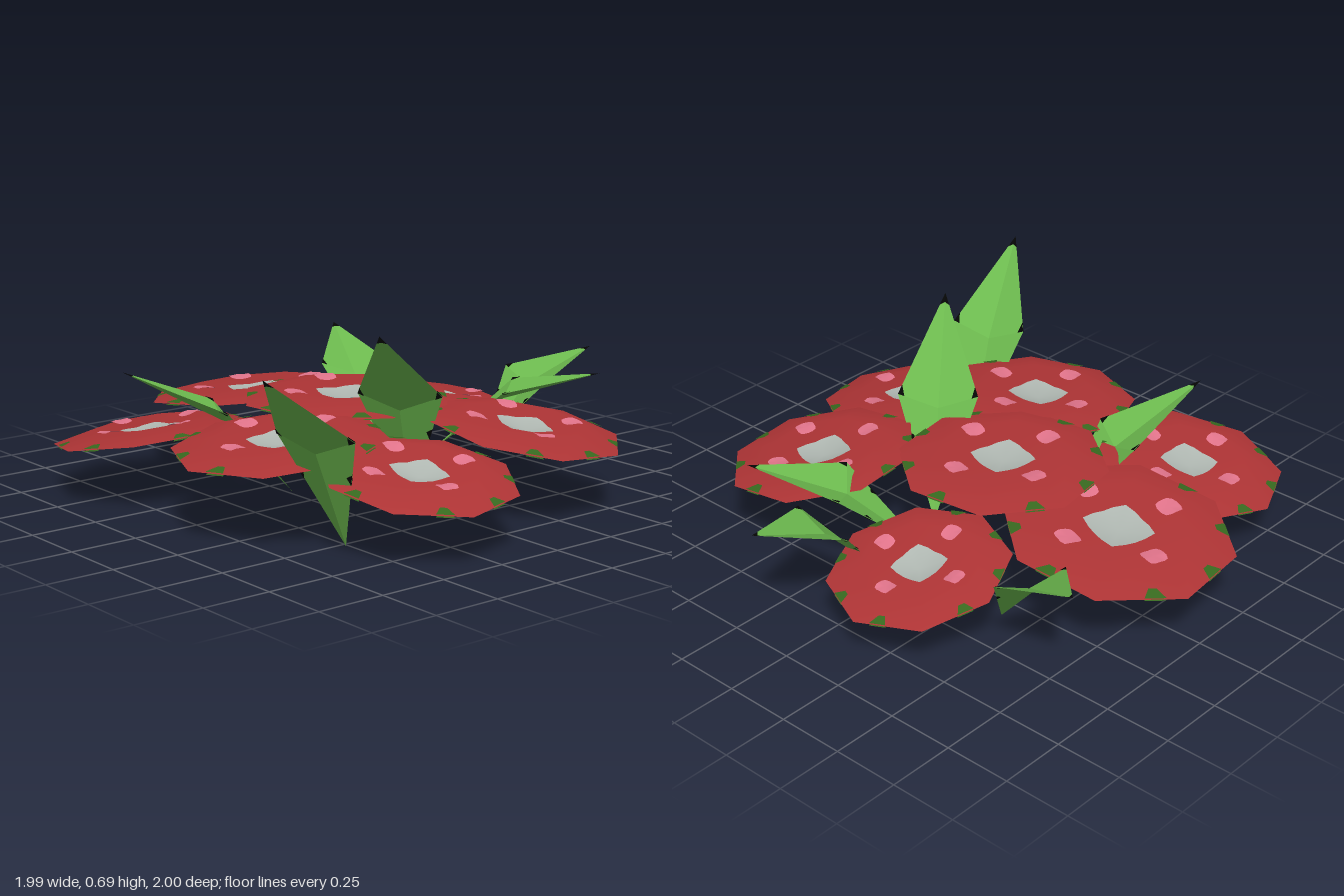
import * as THREE from 'three';
import { mergeVertices } from 'three/addons/utils/BufferGeometryUtils.js';

const mat = (name, color) => {
  const m = new THREE.MeshStandardMaterial({ color, side: THREE.DoubleSide });
  m.name = name;
  return m;
};

// Mesh from a list of triangle corners (Vector3, three per face); smooth shares normals
function facesMesh(name, corners, material, smooth) {
  let g = new THREE.BufferGeometry().setFromPoints(corners);
  if (smooth) g = mergeVertices(g, 1e-4);
  g.computeVertexNormals();
  const mesh = new THREE.Mesh(g, material);
  mesh.name = name;
  return mesh;
}

const V = (x, y, z) => new THREE.Vector3(x, y, z);
const mix = (a, b, t) => a.clone().lerp(b, t);

// Rounded square as a triangle fan, laid on the surface given by height(x, z)
function patch(cx, cz, half, turn, power, height) {
  const pts = [], out = [];
  const at = (x, z) => V(x, height(x, z), z);
  for (let i = 0; i < 16; i++) {
    const a = (i / 16) * Math.PI * 2, c = Math.cos(a), s = Math.sin(a);
    const r = half / Math.pow(Math.abs(c) ** power + Math.abs(s) ** power, 1 / power);
    pts.push(at(cx + r * Math.cos(a + turn), cz + r * Math.sin(a + turn)));
  }
  pts.forEach((p, i) => out.push(at(cx, cz), pts[(i + 1) % 16], p));
  return out;
}

export function createModel() {
  const red = mat('petal red', 0xae3435);
  const grey = mat('centre grey', 0xb0b8b2);
  const pink = mat('spot pink', 0xe2748b);
  const moss = mat('rim green', 0x37691f);
  const green = mat('leaf green', 0x6cb94e);
  const black = mat('leaf tip black', 0x050605);
  const model = new THREE.Group();
  model.name = 'flowerPatch';

  // Bloom: eight-sided disc with a raised ring and a dipped middle, painted on both faces
  function bloom(x, y, z, R, degrees, slopeX, slopeZ) {
    const group = new THREE.Group();
    group.name = 'bloom';
    const turn = THREE.MathUtils.degToRad(degrees), h = 0.036, dip = -0.012, inner = 0.58;
    const step = Math.PI / 4;
    // Height of the eight-sided surface above the rim
    const height = (px, pz) => {
      const a = Math.atan2(pz, px) - turn;
      const off = a - step * (Math.floor(a / step) + 0.5);
      const r = (Math.hypot(px, pz) * Math.cos(off)) / (R * Math.cos(step / 2));
      return r < inner ? dip + ((h - dip) * r) / inner : (h * (1 - r)) / (1 - inner);
    };
    const ring = (r, py) => Array.from({ length: 8 }, (_, i) => {
      const a = turn + i * step;
      return V(r * Math.cos(a), py, r * Math.sin(a));
    });
    const rim = ring(R, 0), top = ring(R * inner, h);
    const petals = [], marks = [], spots = [], heart = [];
    for (let i = 0; i < 8; i++) {
      const j = (i + 1) % 8;
      petals.push(V(0, dip, 0), top[j], top[i], top[i], top[j], rim[j], top[i], rim[j], rim[i]);
    }
    for (const d of [0.005, -0.005]) {
      const skin = (px, pz) => height(px, pz) + d;
      heart.push(...patch(0, 0, R * 0.24, turn, 7, skin));
      for (let k = 0; k < 4; k++) {
        const a = turn + k * step * 2;
        spots.push(...patch(R * 0.51 * Math.cos(a), R * 0.51 * Math.sin(a), R * 0.098, turn, 4, skin));
      }
      // Small green flecks along the rim
      for (let i = 0; i < 8; i++) {
        const j = (i + 1) % 8, at = 0.35 + 0.3 * ((i * 3) % 4) / 3;
        const p = mix(rim[i], rim[j], at - 0.12), q = mix(rim[i], rim[j], at + 0.12);
        const deep = mix(top[i], top[j], at);
        const p2 = mix(mix(rim[i], rim[j], at - 0.07), deep, 0.25);
        const q2 = mix(mix(rim[i], rim[j], at + 0.05), deep, 0.25);
        marks.push(...[p, q2, q, p, p2, q2].map((v) => v.clone().add(V(0, d, 0))));
      }
    }
    // Lean the whole bloom by its slopes and move it into place
    const place = (list) => list.map((v) => V(v.x + x, v.y + y + v.x * slopeX + v.z * slopeZ, v.z + z));
    group.add(
      facesMesh('petals', place(petals), red, true),
      facesMesh('bloomCentre', place(heart), grey, true),
      facesMesh('bloomSpots', place(spots), pink, true),
      facesMesh('rimFlecks', place(marks), moss, true),
    );
    model.add(group);
  }

  // Leaf: bent, slightly folded kite from a buried base to a raised tip, with black tip and corners
  function leaf(base, tip, half) {
    const group = new THREE.Group();
    group.name = 'leaf';
    const B = V(...base), T = V(...tip);
    const axis = T.clone().sub(B).normalize();
    const side = V(0, 1, 0).cross(axis).normalize();
    const up = axis.clone().cross(side);
    const M = mix(B, T, 0.48).addScaledVector(up, 0.065);
    const blade = [], ends = [];
    for (const s of [1, -1]) {
      const S = mix(B, T, 0.53).addScaledVector(up, 0.1).addScaledVector(side, s * half);
      const St = mix(T, S, 0.12), Mt = mix(T, M, 0.08);
      const add = (list, a, b, c) => list.push(...(s > 0 ? [a, b, c] : [a, c, b]));
      add(blade, B, M, S);
      add(blade, S, M, Mt);
      add(blade, S, Mt, St);
      add(ends, St, Mt, T);
      // Black corner flecks on both faces
      for (const d of [0.003, -0.003]) {
        const lift = (p) => p.clone().addScaledVector(up, d);
        add(ends, lift(S), lift(mix(S, M, 0.16)), lift(mix(S, T, 0.09)));
        add(ends, lift(mix(S, B, 0.3)), lift(mix(mix(S, B, 0.36), M, 0.14)), lift(mix(S, B, 0.4)));
      }
    }
    group.add(facesMesh('leafBlade', blade, green, false), facesMesh('leafTip', ends, black, false));
    model.add(group);
  }

  // x, y, z, radius, turn in degrees, slope along x, slope along z
  [
    [-0.2, 0.228, -0.55, 0.322, 0, 0, 0.19],
    [0.53, 0.282, -0.29, 0.352, 22, -0.14, 0.09],
    [-0.6, 0.272, 0.04, 0.417, 17, 0.12, 0],
    [-0.06, 0.342, 0.04, 0.39, 15, 0, 0],
    [0.66, 0.237, 0.31, 0.34, 10, -0.17, -0.02],
    [0.21, 0.3, 0.55, 0.375, 0, 0, -0.1],
    [-0.46, 0.225, 0.63, 0.352, -2, 0.16, -0.05],
  ].forEach((b) => bloom(...b));

  leaf([-0.41, 0.03, -0.36], [-0.89, 0.42, -0.56], 0.135);
  leaf([0.07, 0.1, -0.5], [0.14, 0.425, -1], 0.145);
  leaf([0.02, 0.1, -0.3], [0.5, 0.42, -0.69], 0.14);
  leaf([0.22, 0, -0.03], [0.535, 0.695, 0.38], 0.15);
  leaf([0.52, 0, 0.51], [0.72, 0.665, 0.995], 0.145);
  leaf([-0.14, 0, 0.23], [-0.375, 0.48, 0.795], 0.13);
  return model;
}
